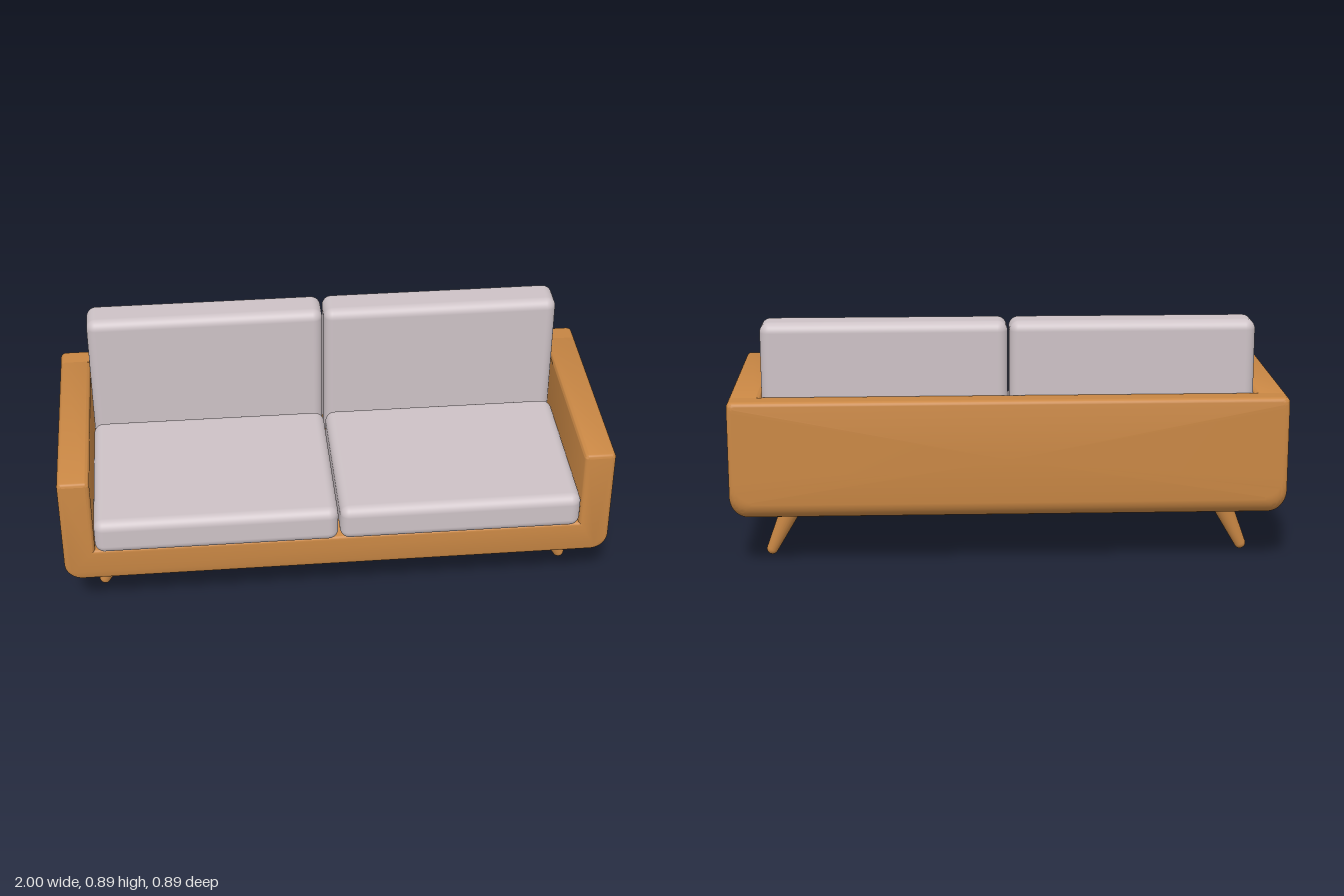
import * as THREE from 'three';
import { toCreasedNormals } from 'three/addons/utils/BufferGeometryUtils.js';
import { RoundedBoxGeometry } from 'three/addons/geometries/RoundedBoxGeometry.js';

const BOTTOM = 0.19, TOP = 0.625, SEAT = 0.32, INNER = 0.885;
const FRONT = 0.415, PANEL = -0.36, BACK = -0.445;

// Rounded rectangle, symmetric in x, with its own lower and upper corner radii
function panelOutline(half, y0, y1, rLow, rTop) {
  const s = new THREE.Shape();
  s.absarc(half - rLow, y0 + rLow, rLow, -Math.PI / 2, 0);
  s.absarc(half - rTop, y1 - rTop, rTop, 0, Math.PI / 2);
  s.absarc(-half + rTop, y1 - rTop, rTop, Math.PI / 2, Math.PI);
  s.absarc(-half + rLow, y0 + rLow, rLow, Math.PI, Math.PI * 1.5);
  return s.getPoints(8);
}

// U-shaped tray: both arms and the seat base in one section
function trayGeometry() {
  const r = 0.065, t = 0.018, b = 0.015;
  const s = new THREE.Shape();
  s.absarc(1 - r, BOTTOM + r, r, -Math.PI / 2, 0);
  s.absarc(1 - t, TOP - t, t, 0, Math.PI / 2);
  s.absarc(INNER + t, TOP - t, t, Math.PI / 2, Math.PI);
  s.lineTo(INNER, SEAT);
  s.lineTo(-INNER, SEAT);
  s.absarc(-INNER - t, TOP - t, t, 0, Math.PI / 2);
  s.absarc(-1 + t, TOP - t, t, Math.PI / 2, Math.PI);
  s.absarc(-1 + r, BOTTOM + r, r, Math.PI, Math.PI * 1.5);
  const z0 = PANEL - 0.003;
  const g = new THREE.ExtrudeGeometry(s, {
    depth: FRONT - b - z0, curveSegments: 6,
    bevelEnabled: true, bevelThickness: b, bevelSize: b, bevelOffset: -b, bevelSegments: 4,
  });
  g.translate(0, 0, z0);
  return toCreasedNormals(g, 0.6);
}

// Back panel lofted towards the rear, with a large curve under its lower edge
function panelGeometry() {
  const R = 0.07, e = 0.02, steps = 12;
  const rings = [{ z: PANEL, low: 0, edge: 0 }];
  for (let i = 0; i <= steps; i++) {
    const a = (i / steps) * Math.PI / 2;
    const d = R * Math.sin(a);
    const k = Math.max(0, (d - R + e) / e);
    rings.push({
      z: BACK + R - d,
      low: R * (1 - Math.cos(a)),
      edge: e * (1 - Math.sqrt(Math.max(0, 1 - k * k))),
    });
  }
  const pos = [], idx = [];
  let n = 0;
  for (const { z, low, edge } of rings) {
    const pts = panelOutline(1 - edge, BOTTOM + low, TOP - edge, 0.065, 0.018);
    n = pts.length;
    for (const p of pts) pos.push(p.x, p.y, z);
  }
  for (let i = 0; i < rings.length - 1; i++) {
    for (let j = 0; j < n; j++) {
      const a = i * n + j, b = i * n + (j + 1) % n;
      idx.push(a, a + n, b, b, a + n, b + n);
    }
  }
  // Front and rear caps
  const last = (rings.length - 1) * n, c = pos.length / 3;
  pos.push(0, 0.41, PANEL, 0, 0.41, BACK);
  for (let j = 0; j < n; j++) {
    const k = (j + 1) % n;
    idx.push(c, j, k, c + 1, last + k, last + j);
  }
  const g = new THREE.BufferGeometry();
  g.setAttribute('position', new THREE.Float32BufferAttribute(pos, 3));
  g.setIndex(idx);
  return toCreasedNormals(g, 0.6);
}

// Tapered leg with a rounded foot; origin at the centre of the foot
function legGeometry() {
  const r = 0.021, pts = [];
  for (let i = 0; i <= 6; i++) {
    const a = (i / 6) * Math.PI / 2;
    pts.push(new THREE.Vector2(r * Math.sin(a), -r * Math.cos(a)));
  }
  pts.push(new THREE.Vector2(0.042, 0.22));
  return new THREE.LatheGeometry(pts, 24);
}

export function createModel() {
  const wood = new THREE.MeshStandardMaterial({ color: 0xc98744 });
  wood.name = 'wood';
  const fabric = new THREE.MeshStandardMaterial({ color: 0xcdc2c6 });
  fabric.name = 'fabric';

  const sofa = new THREE.Group();
  sofa.name = 'sofa';
  const add = (name, geometry, material, x = 0, y = 0, z = 0) => {
    const mesh = new THREE.Mesh(geometry, material);
    mesh.name = name;
    mesh.position.set(x, y, z);
    sofa.add(mesh);
    return mesh;
  };

  add('armsAndBase', trayGeometry(), wood);
  add('backPanel', panelGeometry(), wood);

  const seat = new RoundedBoxGeometry(0.88, 0.138, 0.645, 5, 0.036);
  const back = new RoundedBoxGeometry(0.88, 0.57, 0.147, 5, 0.036);
  const leg = legGeometry();

  for (const [side, s] of [['left', 1], ['right', -1]]) {
    add(side + 'SeatCushion', seat, fabric, s * 0.443, 0.39, 0.121);
    add(side + 'BackCushion', back, fabric, s * 0.443, 0.605, -0.281);
    // Legs splay out to the sides
    for (const [end, z] of [['Front', 0.207], ['Back', -0.23]]) {
      add(side + end + 'Leg', leg, wood, s * 0.868, 0.021, z).rotation.z = s * 0.44;
    }
  }
  return sofa;
}
